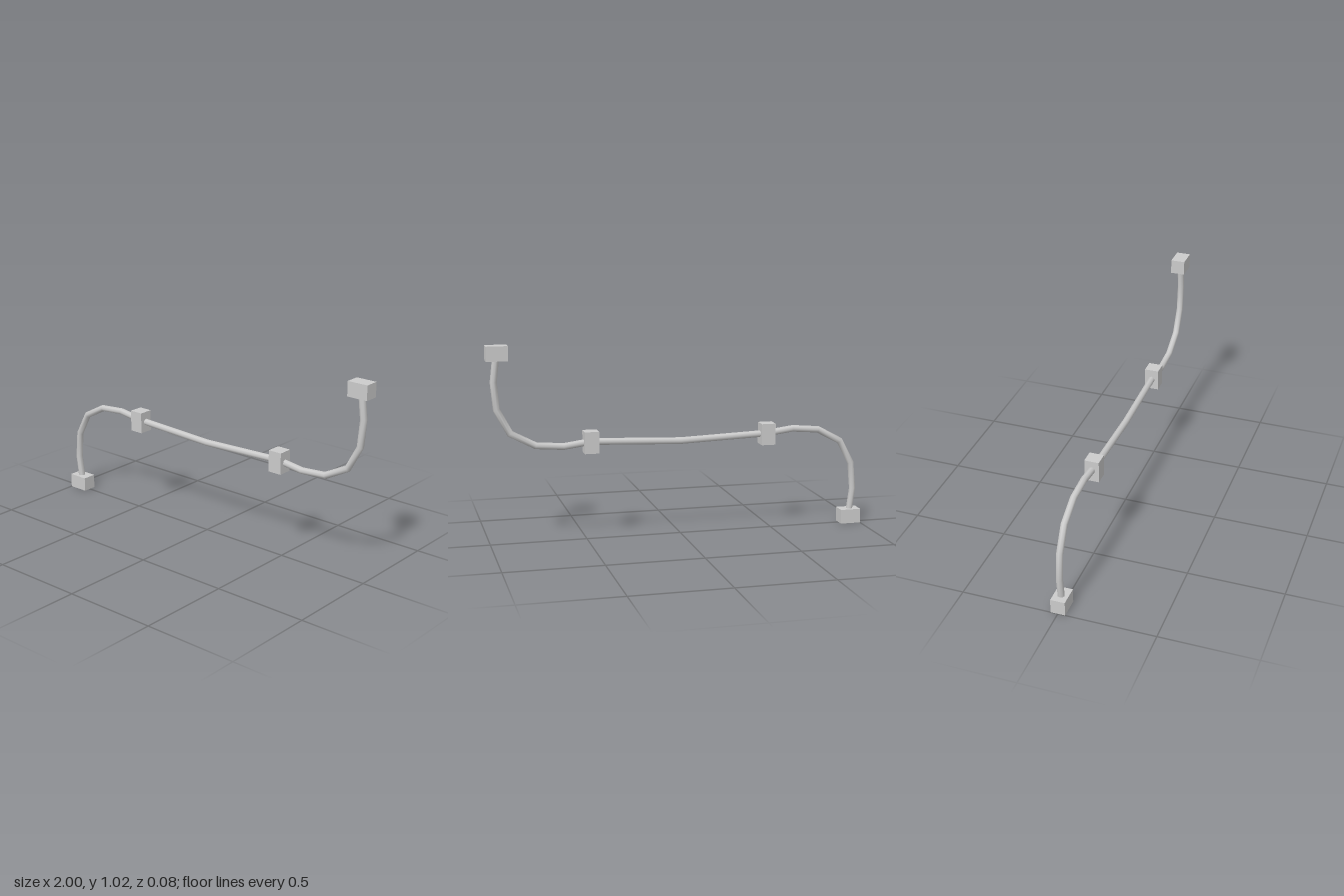
import * as THREE from 'three';

// Straight-segment path whose rings sit exactly on the given points.
class BentPath extends THREE.Curve {
  constructor(points) {
    super();
    this.points = points;
  }
  getPointAt(u, target = new THREE.Vector3()) {
    const last = this.points.length - 1;
    const i = Math.min(Math.floor(u * last + 1e-6), last - 1);
    return target.lerpVectors(this.points[i], this.points[i + 1], u * last - i);
  }
  getTangentAt(u, target = new THREE.Vector3()) {
    // bisector of the two segments meeting at the nearest point
    const p = this.points, last = p.length - 1, i = Math.round(u * last);
    target.set(0, 0, 0);
    if (i > 0) target.add(p[i].clone().sub(p[i - 1]).normalize());
    if (i < last) target.add(p[i + 1].clone().sub(p[i]).normalize());
    return target.normalize();
  }
}

export function createModel() {
  const model = new THREE.Group();
  const material = new THREE.MeshStandardMaterial({ color: 0xcccccc });

  const add = (name, geometry, x = 0, y = 0) => {
    const mesh = new THREE.Mesh(geometry, material);
    mesh.name = name;
    mesh.position.set(x, y, 0);
    model.add(mesh);
  };

  // Cable: rises from the low plug, crosses with a slight sag, climbs to the high plug
  const path = [
    [-0.945, 0.04], [-0.965, 0.187], [-0.951, 0.33], [-0.885, 0.453], [-0.76, 0.52],
    [-0.617, 0.532], [-0.473, 0.513], [0, 0.495], [0.473, 0.513], [0.614, 0.494],
    [0.757, 0.505], [0.885, 0.573], [0.951, 0.697], [0.963, 0.837], [0.945, 0.983],
  ].map(([x, y]) => new THREE.Vector3(x, y, 0));
  add('cable', new THREE.TubeGeometry(new BentPath(path), path.length - 1, 0.018, 8), 0, 0);

  // End plugs and the two clips holding the cable
  const plug = new THREE.BoxGeometry(0.11, 0.076, 0.075);
  const clip = new THREE.BoxGeometry(0.075, 0.113, 0.075);
  add('rightPlug', plug, -0.945, 0.038);
  add('leftPlug', plug, 0.945, 0.983);
  add('rightClip', clip, -0.473, 0.512);
  add('leftClip', clip, 0.473, 0.512);

  return model;
}
